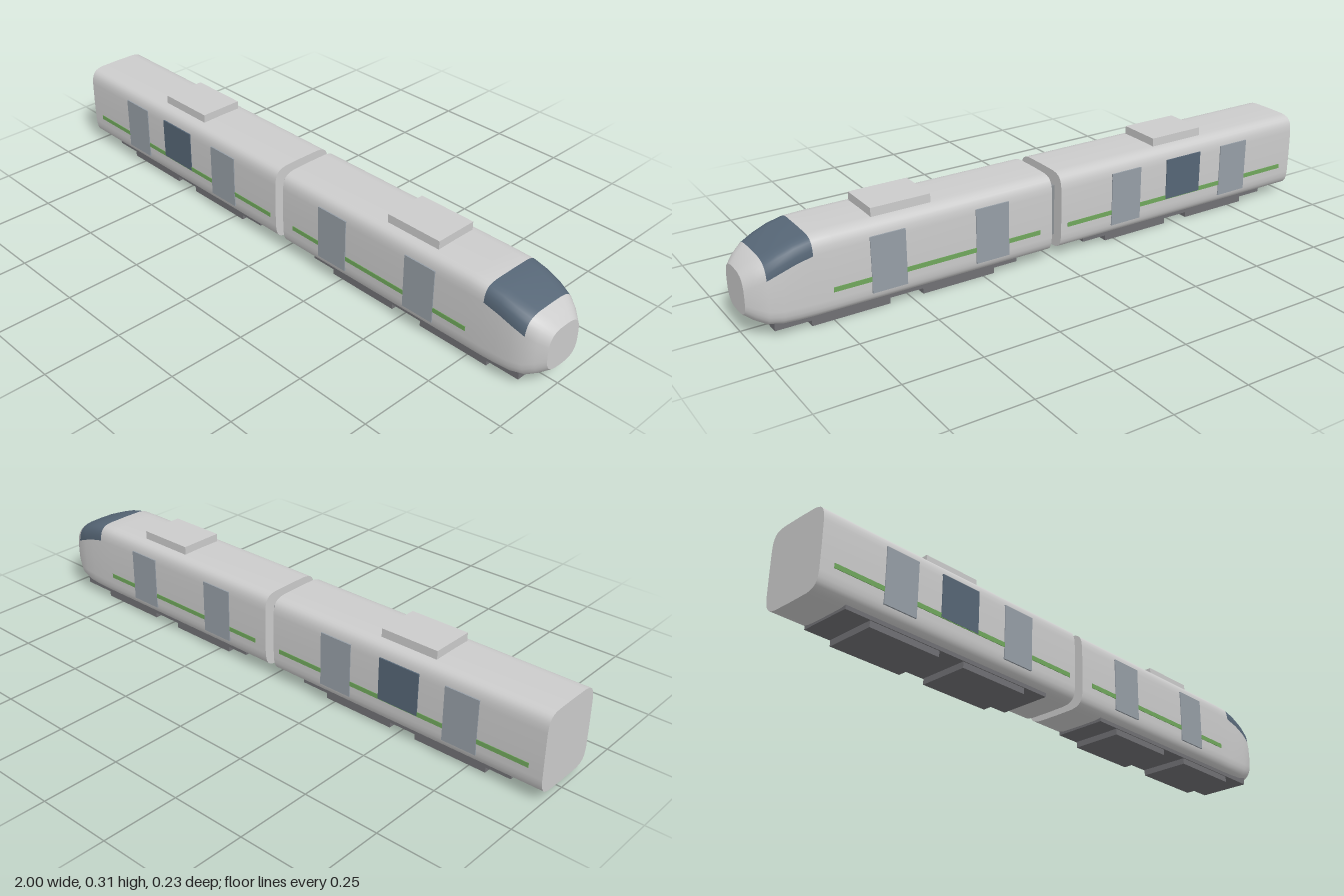
import * as THREE from 'three';

const SEGMENTS = 32;
const mat = (color, side = THREE.FrontSide) => new THREE.MeshStandardMaterial({ color, side });
const bodyMat = mat(0xcccccc);
const glassMat = mat(0x566676);
const doorMat = mat(0x969ea6);
const stripeMat = mat(0x70a85c);
const underMat = mat(0x707074);
const roofMat = mat(0xc2c4c6);
const couplingMat = mat(0x8c9094);

// Superellipse ring: x, bottom, top, half width, squareness
function ring([x, bottom, top, half, n]) {
  const power = (v) => Math.sign(v) * Math.abs(v) ** (2 / n);
  const mid = (top + bottom) / 2;
  const h = (top - bottom) / 2;
  return Array.from({ length: SEGMENTS }, (_, j) => {
    const a = (j / SEGMENTS) * Math.PI * 2;
    return [x, mid + h * power(Math.sin(a)), half * power(Math.cos(a))];
  });
}

// Flat end closing a ring, facing +x or -x
function endCap(section, facing) {
  const points = ring(section);
  const centre = [section[0], (section[1] + section[2]) / 2, 0];
  const position = [];
  points.forEach((p, j) => {
    const q = points[(j + 1) % SEGMENTS];
    position.push(...centre, ...(facing > 0 ? q : p), ...(facing > 0 ? p : q));
  });
  const geo = new THREE.BufferGeometry();
  geo.setAttribute('position', new THREE.Float32BufferAttribute(position, 3));
  geo.computeVertexNormals();
  return geo;
}

// Smooth shell through the sections; isGlass(i, j) moves a patch to the windscreen
function shell(sections, isGlass) {
  const body = [];
  const glass = [];
  for (let i = 0; i < sections.length - 1; i++) {
    for (let j = 0; j < SEGMENTS; j++) {
      const k = (j + 1) % SEGMENTS;
      const a = i * SEGMENTS + j, b = a + SEGMENTS;
      const d = i * SEGMENTS + k, c = d + SEGMENTS;
      (isGlass(i, j) ? glass : body).push(a, b, c, a, c, d);
    }
  }
  const geo = new THREE.BufferGeometry();
  geo.setAttribute('position', new THREE.Float32BufferAttribute(sections.flatMap(ring).flat(), 3));
  geo.setIndex([...body, ...glass]);
  geo.computeVertexNormals();
  const glassGeo = geo.clone().setIndex(glass);
  geo.setIndex(body);
  return { geo, glassGeo };
}

function add(group, name, geo, material) {
  const mesh = new THREE.Mesh(geo, material);
  mesh.name = name;
  group.add(mesh);
  return mesh;
}

// Box given by its limits on each axis
function box(group, name, [x0, x1], [y0, y1], [z0, z1], material) {
  const geo = new THREE.BoxGeometry(x1 - x0, y1 - y0, z1 - z0);
  add(group, name, geo, material).position.set((x0 + x1) / 2, (y0 + y1) / 2, (z0 + z1) / 2);
}

// The same panel on both sides of a car
function sidePanels(group, name, xs, ys, outer, material) {
  box(group, name + 'Left', xs, ys, [0.1, outer], material);
  box(group, name + 'Right', xs, ys, [-outer, -0.1], material);
}

function createCar(spec) {
  const car = new THREE.Group();
  car.name = spec.name;

  const { geo, glassGeo } = shell(spec.sections, spec.isGlass);
  add(car, 'bodyShell', geo, bodyMat);
  if (glassGeo.index.count) add(car, 'windscreen', glassGeo, glassMat);
  add(car, 'rearEnd', endCap(spec.sections[0], -1), bodyMat);
  add(car, 'frontEnd', endCap(spec.sections.at(-1), 1), bodyMat);

  // Side details
  spec.doors.forEach((xs) => sidePanels(car, 'door', xs, [0.066, 0.244], 0.1172, doorMat));
  spec.windows.forEach((xs) => sidePanels(car, 'window', xs, [0.106, 0.244], 0.1172, glassMat));
  sidePanels(car, 'stripe', spec.stripe, [0.104, 0.119], 0.1164, stripeMat);

  // Roof unit, underframe and bogies
  box(car, 'roofUnit', spec.roof, [0.275, 0.312], [-0.073, 0.073], roofMat);
  box(car, 'underframe', spec.underframe, [0.02, 0.05], [-0.088, 0.088], underMat);
  spec.bogies.forEach((xs) => box(car, 'bogie', xs, [0, 0.03], [-0.085, 0.085], underMat));
  return car;
}

export function createModel() {
  const train = new THREE.Group();
  train.name = 'train';

  train.add(createCar({
    name: 'rearCar',
    sections: [[-1, 0.028, 0.286, 0.115, 6], [-0.02, 0.028, 0.286, 0.115, 6]],
    isGlass: () => false,
    doors: [[-0.787, -0.672], [-0.332, -0.217]],
    windows: [[-0.582, -0.44]],
    stripe: [-0.955, -0.045],
    roof: [-0.61, -0.412],
    underframe: [-0.89, -0.125],
    bogies: [[-0.805, -0.557], [-0.465, -0.217]],
  }));

  train.add(createCar({
    name: 'leadCar',
    sections: [
      [0.015, 0.028, 0.286, 0.115, 6],
      [0.75, 0.028, 0.286, 0.115, 6],
      [0.81, 0.028, 0.284, 0.115, 6],
      [0.86, 0.028, 0.274, 0.1145, 5.5],
      [0.905, 0.029, 0.258, 0.112, 5],
      [0.945, 0.034, 0.242, 0.105, 4.2],
      [0.975, 0.049, 0.224, 0.089, 3.5],
      [1, 0.067, 0.202, 0.068, 3],
    ],
    isGlass: (i, j) => i >= 2 && i < 5 && j >= 1 && j < SEGMENTS / 2 - 1,
    doors: [[0.175, 0.29], [0.525, 0.638]],
    windows: [],
    stripe: [0.06, 0.757],
    roof: [0.418, 0.612],
    underframe: [0.13, 0.93],
    bogies: [[0.212, 0.46], [0.57, 0.818]],
  }));

  // Gangway between the cars
  box(train, 'gangway', [-0.04, 0.035], [0.07, 0.238], [-0.075, 0.075], couplingMat);
  return train;
}
